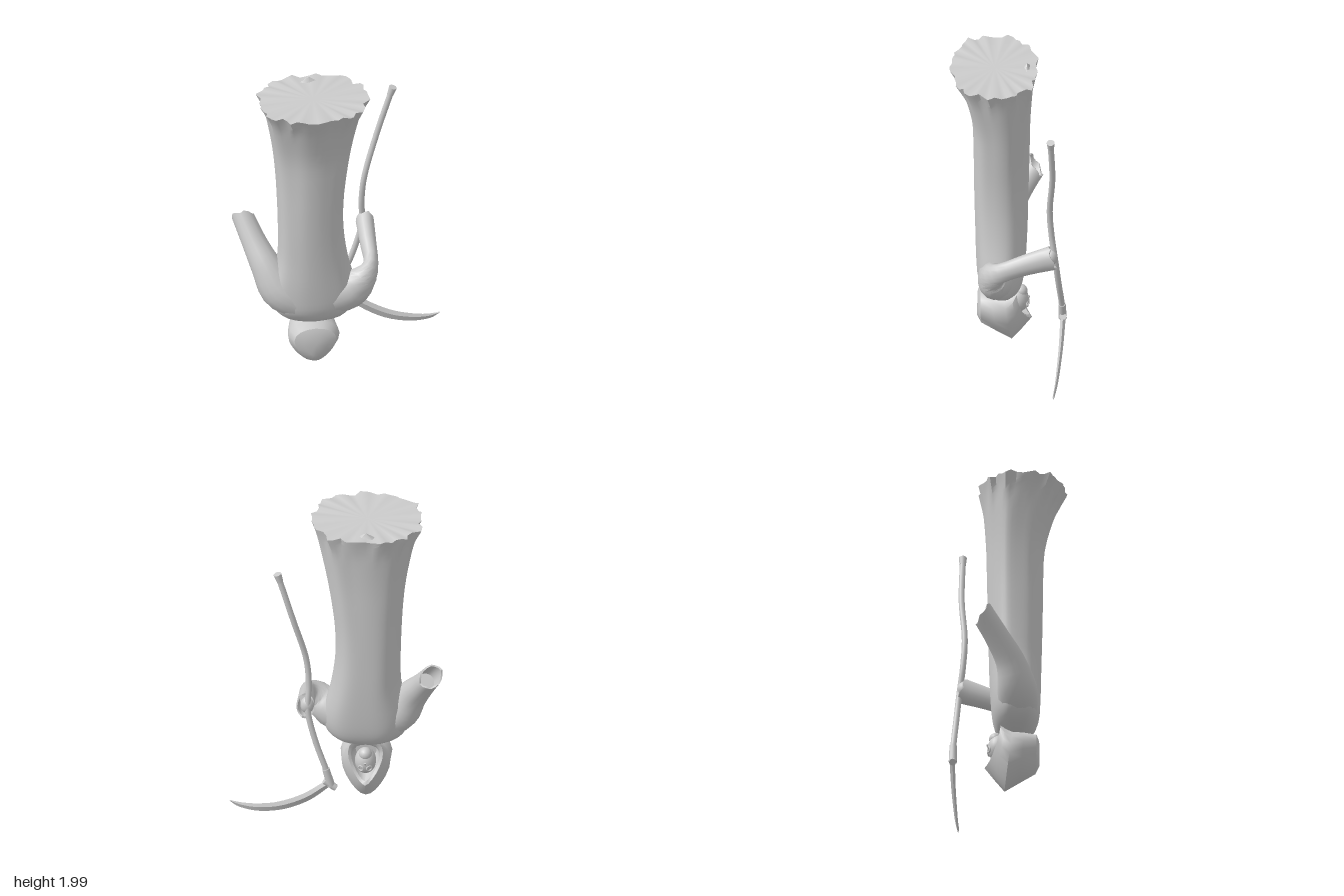
import * as THREE from 'three';
import { toCreasedNormals } from 'three/addons/utils/BufferGeometryUtils.js';

const grey = new THREE.MeshStandardMaterial({ color: 0xcccccc, side: THREE.DoubleSide });
const V = (x, y, z) => new THREE.Vector3(x, y, z);
const smooth = (pts) => new THREE.CatmullRomCurve3(pts, false, 'catmullrom', 0.5);

function add(group, name, geometry) {
  const mesh = new THREE.Mesh(geometry, grey);
  mesh.name = name;
  group.add(mesh);
  return mesh;
}

// Skin closed rings of points, with a fan cap at either end
function loft(rings, capStart, capEnd, crease = 0.8) {
  const n = rings[0].length, pos = [], idx = [];
  rings.forEach((r) => r.forEach((p) => pos.push(p.x, p.y, p.z)));
  for (let i = 0; i < rings.length - 1; i++) {
    for (let j = 0; j < n; j++) {
      const a = i * n + j, b = i * n + (j + 1) % n;
      idx.push(a, b, b + n, a, b + n, a + n);
    }
  }
  const cap = (row, flip) => {
    const c = rings[row].reduce((s, p) => s.add(p), V(0, 0, 0)).divideScalar(n);
    const k = pos.length / 3;
    pos.push(c.x, c.y, c.z);
    for (let j = 0; j < n; j++) {
      const a = row * n + j, b = row * n + (j + 1) % n;
      if (flip) idx.push(k, b, a); else idx.push(k, a, b);
    }
  };
  if (capStart) cap(0, true);
  if (capEnd) cap(rings.length - 1, false);
  const g = new THREE.BufferGeometry();
  g.setAttribute('position', new THREE.Float32BufferAttribute(pos, 3));
  g.setIndex(idx);
  return toCreasedNormals(g, crease);
}

// Robe: rows of [y, xMin, xMax, zMin, zMax], folds growing to a ragged hem
function robeGeometry() {
  const rows = [
    [0.37, -0.27, -0.07, -0.02, 0.09], [0.41, -0.36, 0.02, -0.07, 0.14], [0.48, -0.42, 0.07, -0.1, 0.175],
    [0.6, -0.43, 0.08, -0.115, 0.185], [0.8, -0.39, 0.035, -0.125, 0.19], [1.0, -0.385, 0.01, -0.13, 0.195],
    [1.2, -0.39, 0.01, -0.135, 0.198], [1.4, -0.4, 0.03, -0.14, 0.2], [1.6, -0.42, 0.06, -0.145, 0.21],
    [1.8, -0.455, 0.1, -0.16, 0.26], [1.9, -0.48, 0.125, -0.175, 0.3], [1.97, -0.51, 0.15, -0.19, 0.335],
  ];
  const n = 56, rings = [];
  const centre = smooth(rows.map((r) => V((r[1] + r[2]) / 2, r[0], (r[3] + r[4]) / 2)));
  const radius = smooth(rows.map((r) => V((r[2] - r[1]) / 2, 0, (r[4] - r[3]) / 2)));
  const soft = (s) => Math.sign(s) * Math.abs(s) ** 0.85;
  for (let i = 0; i <= 33; i++) {
    const c = centre.getPoint(i / 33), r = radius.getPoint(i / 33);
    const low = THREE.MathUtils.smoothstep(c.y, 0.8, 2.0);
    const hem = THREE.MathUtils.smoothstep(c.y, 1.78, 1.97);
    rings.push(Array.from({ length: n }, (_, j) => {
      const a = j / n * Math.PI * 2, back = Math.max(0, -Math.cos(a));
      const f = 1 + (0.012 + 0.015 * low) * Math.cos(7 * a + 0.6) - 0.01 - 0.05 * low * back * (0.5 + 0.5 * Math.cos(9 * a))
        + hem * (0.035 * Math.sin(13 * a + 1) + 0.025 * Math.sin(23 * a));
      return V(c.x + r.x * soft(Math.sin(a)) * f, c.y + hem * 0.008 * Math.sin(17 * a), c.z + r.z * soft(Math.cos(a)) * f);
    }));
  }
  return loft(rings, true, true);
}

// Sleeve: points [x, y, z, radiusU, radiusV], ending in an open cuff
function sleeveGeometry(points, ref, slant) {
  const path = smooth(points.map((p) => V(p[0], p[1], p[2])));
  const size = smooth(points.map((p) => V(p[3], p[4], 0)));
  const n = 16, rings = [], steps = 15;
  const ring = (t, scale, cut) => {
    const c = path.getPoint(t), d = path.getTangent(t), r = size.getPoint(t);
    const u = ref.clone().addScaledVector(d, -ref.dot(d)).normalize();
    const v = d.clone().cross(u);
    rings.push(Array.from({ length: n }, (_, j) => {
      const a = j / n * Math.PI * 2;
      return c.clone().addScaledVector(u, Math.cos(a) * r.x * scale).addScaledVector(v, Math.sin(a) * r.y * scale)
        .addScaledVector(d, cut * (slant * Math.cos(a) + 0.008 * Math.sin(5 * a)));
    }));
  };
  for (let i = 0; i <= steps; i++) ring(i / steps, 1, i === steps ? 1 : 0);
  ring(1, 0.85, 1);
  ring(0.85, 0.75, 0);
  return loft(rings, true, true);
}

// Hood: rows of [yBottom, zBottom, yTop, zTop, halfWidth, sideSetback], rolled into a face opening
function hoodGeometry() {
  const rows = [
    [0.18, 0.18, 0.33, 0.175, 0.07, 0], [0.13, 0.155, 0.365, 0.16, 0.12, 0], [0.07, 0.06, 0.375, 0.09, 0.147, 0],
    [0.01, -0.03, 0.385, 0.02, 0.14, 0], [0.08, -0.09, 0.41, -0.03, 0.125, 0.01], [0.16, -0.15, 0.44, -0.07, 0.1, 0.035],
    [0.18, -0.135, 0.415, -0.065, 0.083, 0.035], [0.2, -0.03, 0.37, -0.02, 0.08, 0], [0.22, 0.03, 0.35, 0.03, 0.06, 0],
  ];
  const n = 20;
  return loft(rows.map(([y0, z0, y1, z1, w, back]) => Array.from({ length: n }, (_, j) => {
    const a = j / n * Math.PI * 2, c = Math.cos(a), s = Math.sin(a), k = (1 + c) / 2;
    return V(-0.175 + w * s * (1 + 0.35 * c), y0 + (y1 - y0) * k, z0 + (z1 - z0) * k + back * Math.abs(s));
  })), true, true, 0.7);
}

// Curved blade: tapering diamond sections between the inner and outer edge
function bladeGeometry() {
  const outer = smooth([V(0.03, 0.28, -0.335), V(0.15, 0.17, -0.325), V(0.3, 0.09, -0.31), V(0.45, 0.062, -0.297), V(0.57, 0.08, -0.285), V(0.63, 0.12, -0.28)]);
  const inner = smooth([V(0.07, 0.31, -0.335), V(0.19, 0.215, -0.325), V(0.33, 0.145, -0.31), V(0.45, 0.117, -0.297), V(0.55, 0.112, -0.285), V(0.628, 0.124, -0.28)]);
  const rings = [];
  for (let i = 0; i <= 20; i++) {
    const a = outer.getPoint(i / 20), b = inner.getPoint(i / 20), m = a.clone().lerp(b, 0.6);
    const t = 0.016 * (1 - 0.75 * i / 20);
    rings.push([a, m.clone().add(V(0, 0, -t)), b, m.clone().add(V(0, 0, t))]);
  }
  return loft(rings, true, true, 0.6);
}

// Straight rod between two points
function rod(group, name, a, b, r0, r1) {
  const m = add(group, name, new THREE.CylinderGeometry(r1, r0, a.distanceTo(b), 14));
  m.position.copy(a).lerp(b, 0.5);
  m.quaternion.setFromUnitVectors(V(0, 1, 0), b.clone().sub(a).normalize());
}

export function createModel() {
  const model = new THREE.Group();
  add(model, 'robe', robeGeometry());
  add(model, 'rightSleeve', sleeveGeometry([
    [-0.24, 0.5, 0.05, 0.12, 0.12], [-0.37, 0.59, 0.04, 0.12, 0.125], [-0.45, 0.73, 0.0, 0.09, 0.095],
    [-0.515, 0.86, -0.08, 0.075, 0.075], [-0.572, 0.99, -0.17, 0.07, 0.065]], V(0.5, -0.3, -0.8), -0.035));
  add(model, 'leftSleeve', sleeveGeometry([
    [-0.1, 0.53, 0.05, 0.13, 0.12], [0.04, 0.58, 0.07, 0.125, 0.105], [0.125, 0.66, 0.085, 0.085, 0.075],
    [0.175, 0.72, 0.03, 0.062, 0.045], [0.175, 0.78, -0.12, 0.068, 0.05], [0.175, 0.83, -0.275, 0.08, 0.055]], V(0, 1, 0), 0.0));
  add(model, 'hood', hoodGeometry());

  // Small raised fold on the hem
  const fold = add(model, 'hemFold', new THREE.ConeGeometry(0.07, 0.04, 5));
  fold.scale.z = 0.35;
  fold.position.set(-0.18, 1.98, -0.12);

  // Face inside the hood
  const face = new THREE.Group();
  face.name = 'face';
  face.position.set(-0.175, 0.29, -0.065);
  model.add(face);
  add(face, 'skull', new THREE.SphereGeometry(1, 24, 16)).scale.set(0.064, 0.085, 0.065);
  const jaw = add(face, 'jaw', new THREE.SphereGeometry(1, 16, 12));
  jaw.scale.set(0.04, 0.04, 0.04);
  jaw.position.set(0, 0.06, -0.018);
  for (const s of [-1, 1]) {
    const eye = add(face, 'eyeSocket', new THREE.TorusGeometry(0.016, 0.005, 8, 16));
    eye.position.set(s * 0.025, -0.02, -0.058);
    eye.rotation.y = s * -0.4;
  }
  const nose = add(face, 'nose', new THREE.ConeGeometry(0.009, 0.025, 8));
  nose.position.set(0, 0.01, -0.065);
  nose.rotation.x = Math.PI;

  // Scythe
  const scythe = new THREE.Group();
  scythe.name = 'scythe';
  model.add(scythe);
  const shaft = smooth([
    V(0.34, 1.775, -0.263), V(0.25, 1.46, -0.273), V(0.175, 1.18, -0.257), V(0.155, 0.98, -0.268),
    V(0.16, 0.8, -0.29), V(0.115, 0.6, -0.31), V(0.055, 0.42, -0.328), V(0.02, 0.3, -0.333)]);
  add(scythe, 'shaft', new THREE.TubeGeometry(shaft, 60, 0.018, 12));
  rod(scythe, 'shaftEnd', shaft.getPoint(0.02), V(0.344, 1.785, -0.263), 0.019, 0.024);
  rod(scythe, 'collar', V(0.02, 0.29, -0.333), V(0.052, 0.41, -0.33), 0.025, 0.022);
  rod(scythe, 'bladeSocket', V(-0.008, 0.275, -0.335), V(0.06, 0.325, -0.335), 0.021, 0.021);
  add(scythe, 'blade', bladeGeometry());

  // Fist gripping the shaft
  const fist = add(model, 'leftHand', new THREE.SphereGeometry(1, 16, 12));
  fist.scale.set(0.042, 0.055, 0.04);
  fist.position.set(0.165, 0.83, -0.265);
  return model;
}
